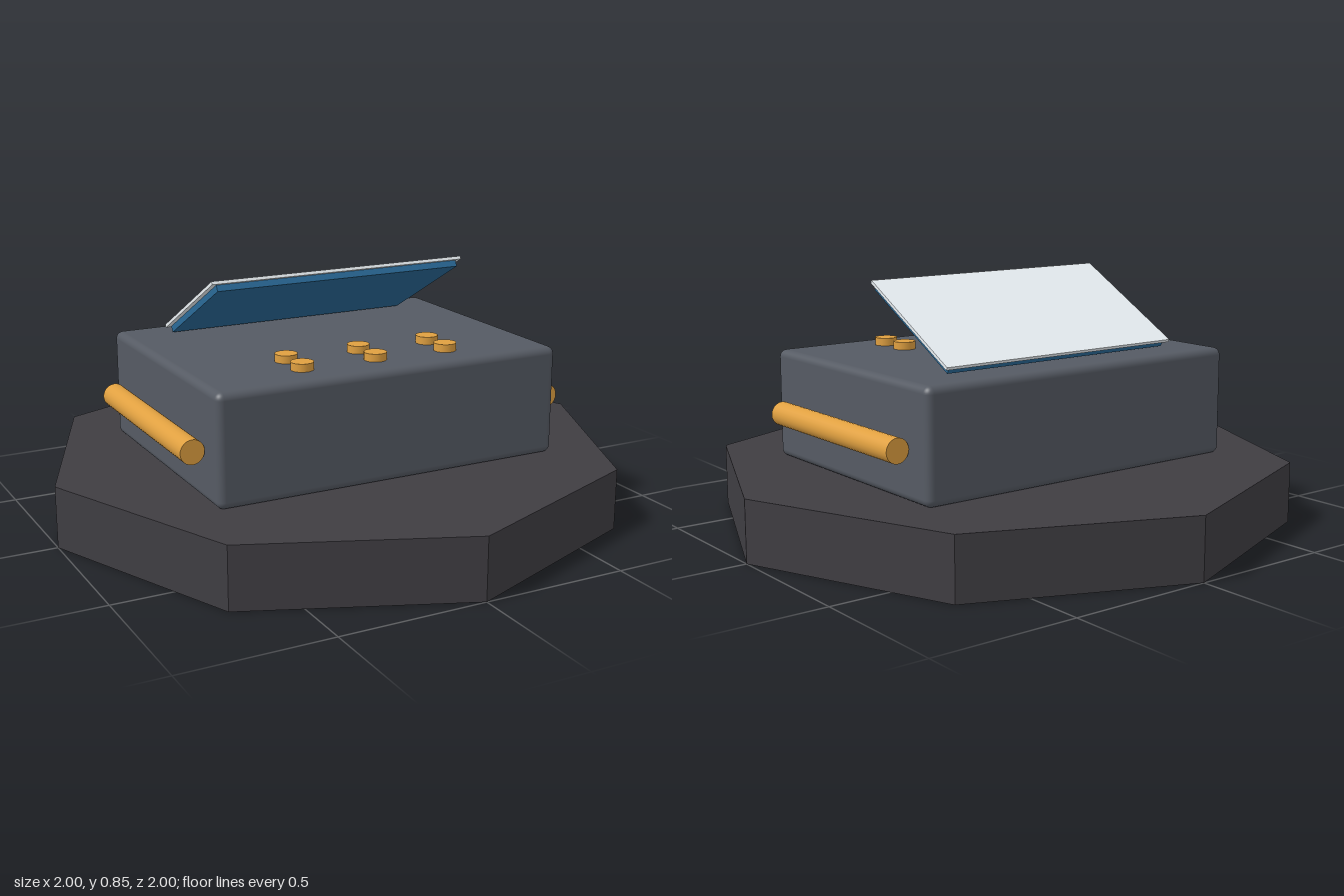
import * as THREE from 'three';
import { RoundedBoxGeometry } from 'three/addons/geometries/RoundedBoxGeometry.js';

export function createModel() {
  const model = new THREE.Group();
  const mat = (color, extra = {}) => new THREE.MeshStandardMaterial({ color, ...extra });
  const gold = mat(0xe0a040);

  const add = (parent, name, geometry, material, x, y, z) => {
    const mesh = new THREE.Mesh(geometry, material);
    mesh.name = name;
    mesh.position.set(x, y, z);
    parent.add(mesh);
    return mesh;
  };

  // Octagonal plinth with corners on the axes
  add(model, 'base', new THREE.CylinderGeometry(1, 1, 0.21, 8), mat(0x3f3d42, { flatShading: true }), 0, 0.105, 0);

  // Console body with softened edges
  add(model, 'body', new RoundedBoxGeometry(1.245, 0.375, 0.912, 4, 0.025), mat(0x555a63), 0, 0.3975, 0);

  // Tilted screen: thin pale cover over a blue panel
  const screen = new THREE.Group();
  screen.name = 'screen';
  screen.position.set(0, 0.725, -0.13);
  screen.rotation.x = -0.5;
  model.add(screen);
  add(screen, 'screenCover', new THREE.BoxGeometry(0.945, 0.011, 0.484), mat(0xeaf0f4), 0, 0, 0);
  add(screen, 'screenPanel', new THREE.BoxGeometry(0.91, 0.022, 0.465), mat(0x2a6a98), 0, -0.0165, 0);

  // Side handles
  for (const side of [-1, 1]) {
    const handle = add(model, 'handle', new THREE.CylinderGeometry(0.041, 0.041, 0.71, 24), gold, side * 0.665, 0.38, 0);
    handle.rotation.x = Math.PI / 2;
  }

  // Two rows of three buttons
  const buttonGeometry = new THREE.CylinderGeometry(0.038, 0.038, 0.035, 20);
  for (const z of [0.2, 0.316]) {
    for (const x of [-0.267, 0, 0.267]) add(model, 'button', buttonGeometry, gold, x, 0.594, z);
  }

  return model;
}
